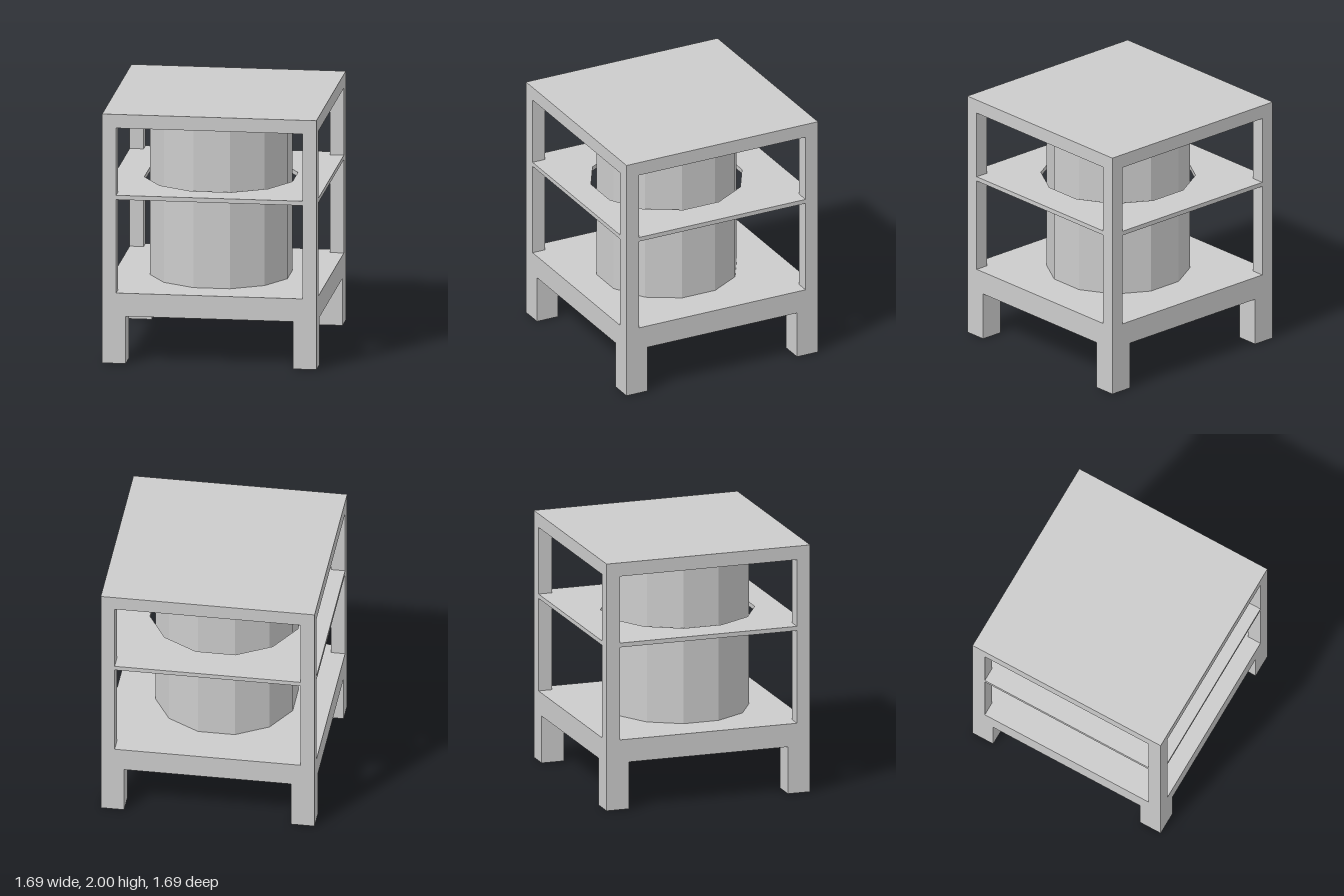
import * as THREE from 'three';

const HALF = 0.845;            // half width of the square frame
const CX = -0.017, CZ = 0.04;  // drum axis
const SIDES = 12;

export function createModel() {
  const model = new THREE.Group();
  const material = new THREE.MeshStandardMaterial({ color: 0xcccccc, flatShading: true });

  function add(name, geometry, x, y, z) {
    const mesh = new THREE.Mesh(geometry, material);
    mesh.name = name;
    mesh.position.set(x, y, z);
    model.add(mesh);
  }

  // Box of a given footprint standing between two heights
  function block(name, width, y0, y1, x = 0, z = 0) {
    add(name, new THREE.BoxGeometry(width, y1 - y0, width), x, (y0 + y1) / 2, z);
  }

  // Thick base slab and top slab
  block('base', HALF * 2, 0.38, 0.565);
  block('top', HALF * 2, 1.89, 2);

  // Feet and corner posts, flush with the outer faces
  const foot = 0.185, post = 0.11;
  for (const sx of [-1, 1]) {
    for (const sz of [-1, 1]) {
      const side = (sz > 0 ? 'front' : 'back') + (sx > 0 ? 'Left' : 'Right');
      const f = HALF - foot / 2, p = HALF - post / 2;
      block(side + 'Foot', foot, 0, 0.38, sx * f, sz * f);
      block(side + 'Post', post, 0.565, 1.89, sx * p, sz * p);
    }
  }

  // Twelve-sided drum between base and top
  const drum = new THREE.CylinderGeometry(0.562, 0.562, 1.325, SIDES, 1, false, Math.PI / SIDES);
  add('drum', drum, CX, 0.565 + 1.325 / 2, CZ);

  // Thin shelf notched around the posts, with a clearance hole for the drum
  const n = HALF - post;
  const corners = [[HALF, n], [n, n], [n, HALF]];
  const outline = [];
  for (let q = 0; q < 4; q++) {
    for (const [x, y] of corners) {
      outline.push(new THREE.Vector2(x, y).rotateAround(new THREE.Vector2(), q * Math.PI / 2));
    }
  }
  const shelfShape = new THREE.Shape(outline);
  const rim = [];
  for (let i = 0; i < SIDES; i++) {
    const a = (i + 0.5) * 2 * Math.PI / SIDES;
    rim.push(new THREE.Vector2(CX + 0.605 * Math.cos(a), -CZ + 0.605 * Math.sin(a)));
  }
  shelfShape.holes.push(new THREE.Path(rim));
  const shelf = new THREE.ExtrudeGeometry(shelfShape, { depth: 0.035, bevelEnabled: false });
  shelf.rotateX(-Math.PI / 2);
  add('shelf', shelf, 0, 1.315, 0);

  return model;
}
